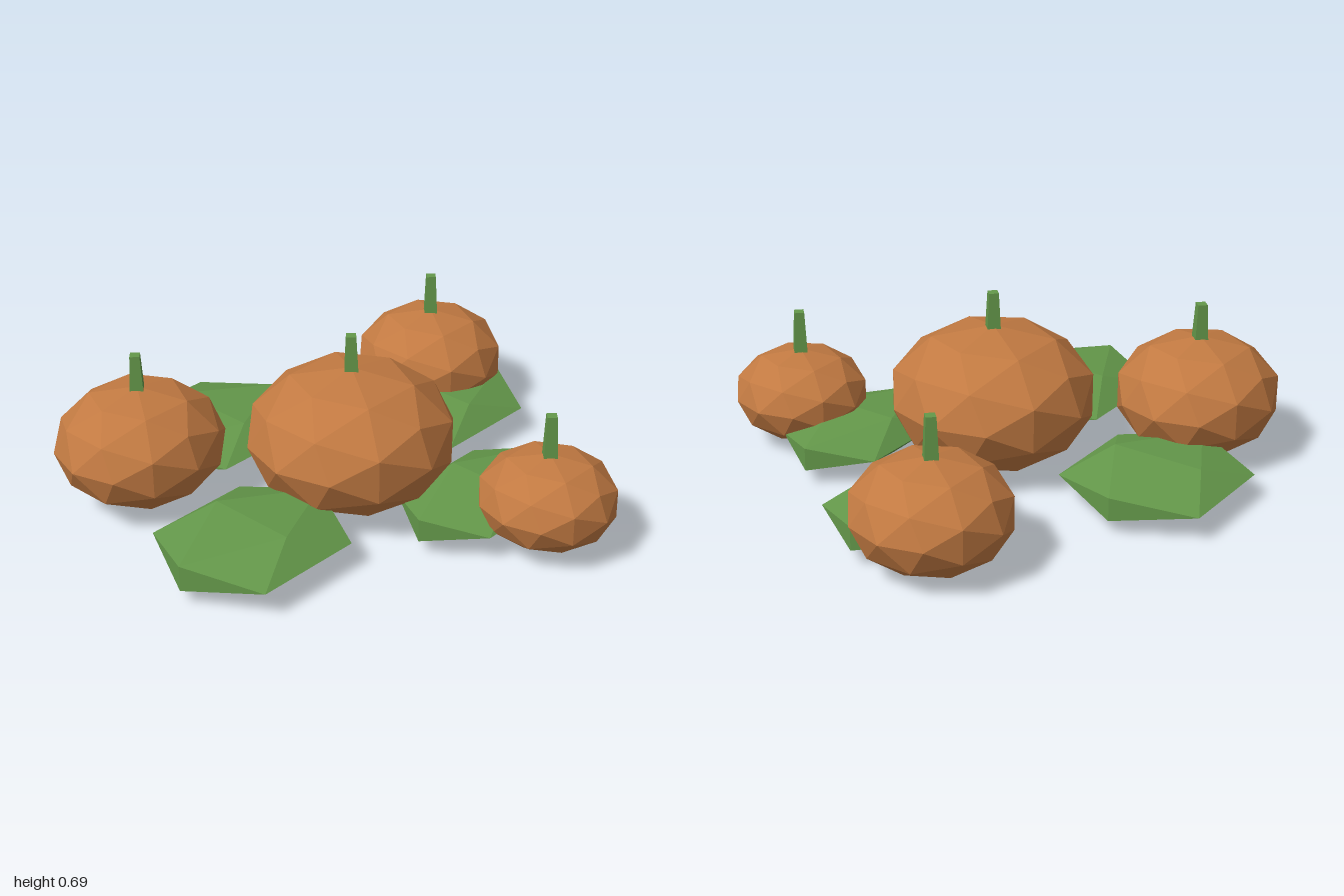
import * as THREE from 'three';

const flat = (name, color) => {
  const m = new THREE.MeshStandardMaterial({ color });
  m.name = name;
  m.flatShading = true;
  return m;
};

export function createModel() {
  const orange = flat('pumpkin orange', 0xc27a42);
  const green = flat('leaf green', 0x64984a);
  const model = new THREE.Group();
  model.name = 'pumpkinPatch';

  const add = (parent, name, geometry, material, x, y, z) => {
    const mesh = new THREE.Mesh(geometry, material);
    mesh.name = name;
    mesh.position.set(x, y, z);
    parent.add(mesh);
    return mesh;
  };

  // Pumpkins: squashed faceted balls, each with a tapered four-sided stem
  // [name, x, z, centre height, rx, ry, rz, stem top]
  const pumpkins = [
    ['middlePumpkin', -0.085, -0.015, 0.285, 0.4, 0.277, 0.396, 0.693],
    ['backPumpkin', -0.615, -0.602, 0.248, 0.328, 0.232, 0.317, 0.61],
    ['leftPumpkin', 0.7, -0.308, 0.21, 0.3, 0.21, 0.298, 0.57],
    ['frontPumpkin', 0.17, 0.715, 0.195, 0.258, 0.18, 0.265, 0.53],
  ];
  for (const [name, x, z, y, rx, ry, rz, top] of pumpkins) {
    const group = new THREE.Group();
    group.name = name;
    const body = new THREE.IcosahedronGeometry(1, 1).scale(rx, ry, rz);
    add(group, 'pumpkinBody', body, orange, x, y, z);
    const bottom = y + ry - 0.03;
    const stem = new THREE.CylinderGeometry(0.026, 0.037, top - bottom, 4);
    add(group, 'stem', stem, green, x, (top + bottom) / 2, z);
    model.add(group);
  }

  // Leaves: flattened icosahedra with their blunt tips along x
  // [name, x, z, centre height, rx, ry, rz]
  const leaves = [
    ['rightLeaf', -0.65, 0.022, 0.105, 0.411, 0.096, 0.337],
    ['backLeaf', -0.17, -0.69, 0.1, 0.396, 0.086, 0.345],
    ['leftLeaf', 0.52, -0.093, 0.112, 0.42, 0.088, 0.28],
    ['frontLeaf', 0.14, 0.432, 0.107, 0.416, 0.086, 0.26],
  ];
  for (const [name, x, z, y, rx, ry, rz] of leaves) {
    const leaf = new THREE.IcosahedronGeometry(1, 0).rotateY(Math.PI / 2).scale(rx, ry, rz);
    add(model, name, leaf, green, x, y, z);
  }
  return model;
}
